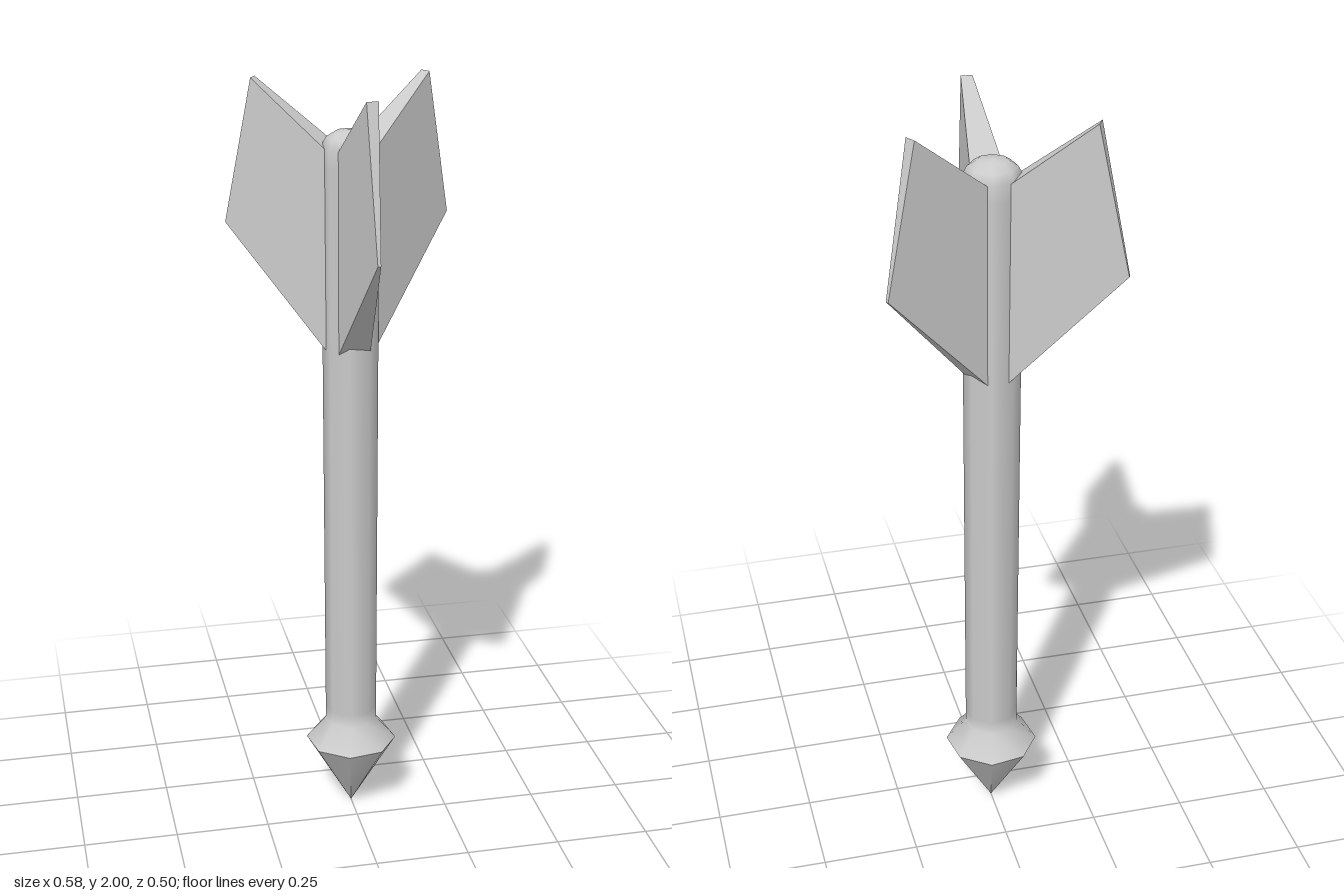
import * as THREE from 'three';

export function createModel() {
  const group = new THREE.Group();
  const smooth = new THREE.MeshStandardMaterial({ color: 0xcccccc });
  const flat = new THREE.MeshStandardMaterial({ color: 0xcccccc, flatShading: true });
  const axisZ = -0.083;

  // Eight-sided turned part around the shaft axis
  const turned = (name, profile) => {
    const points = profile.map(([r, y]) => new THREE.Vector2(r, y));
    const mesh = new THREE.Mesh(new THREE.LatheGeometry(points, 8, THREE.MathUtils.degToRad(32)), smooth);
    mesh.name = name;
    mesh.position.z = axisZ;
    group.add(mesh);
  };

  turned('pointedTip', [[0, 0], [0.122, 0.2]]);
  turned('shaft', [
    [0.122, 0.2], [0.069, 0.262], [0.069, 0.3], [0.072, 1.8],
    [0.072, 1.845], [0.06, 1.868], [0.038, 1.882], [0, 1.887],
  ]);

  // Fin: side outline (radius, height), tapering in thickness towards the outer edge
  const outline = [[0.05, 1.325], [0.333, 1.63], [0.253, 2.0], [0.05, 1.84]];
  const shape = new THREE.Shape(outline.map(([r, y]) => new THREE.Vector2(r, y)));
  const finGeometry = new THREE.ExtrudeGeometry(shape, { depth: 2, bevelEnabled: false });
  finGeometry.translate(0, 0, -1);
  const pos = finGeometry.attributes.position;
  for (let i = 0; i < pos.count; i++) {
    const t = (pos.getX(i) - 0.05) / (0.333 - 0.05);
    pos.setZ(i, pos.getZ(i) * THREE.MathUtils.lerp(0.041, 0.004, t));
  }
  finGeometry.computeVertexNormals();

  // Three fins: one to the front, two swept to the back
  for (let i = 0; i < 3; i++) {
    const fin = new THREE.Mesh(finGeometry, flat);
    fin.name = ['frontFin', 'backLeftFin', 'backRightFin'][i];
    fin.rotation.y = -Math.PI / 2 + (i * 2 * Math.PI) / 3;
    fin.position.z = axisZ;
    group.add(fin);
  }
  return group;
}
